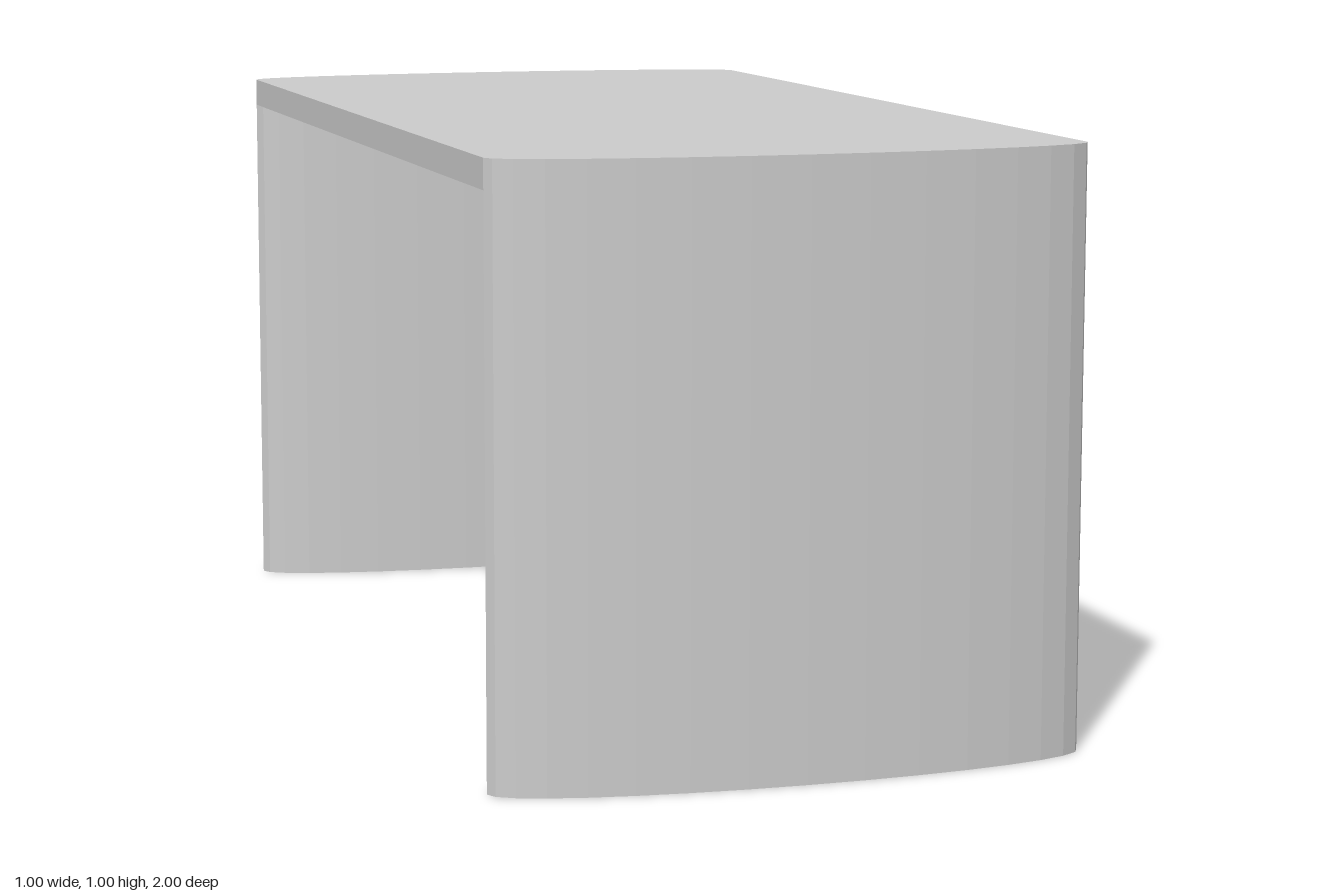
import * as THREE from 'three';

const HALF_WIDTH = 0.5;    // x radius of the oval ends
const END_DEPTH = 0.09;    // z radius of the oval ends
const LEG_Z = 0.91;        // oval centre of each leg
const HEIGHT = 1;
const SLAB = 0.05;         // thickness of the top
const SIDES = 32;

const material = new THREE.MeshStandardMaterial({ color: 0xcccccc, flatShading: true });

// Points of an oval; the two halves are moved apart by `spread`
function ovalShape(spread) {
  const points = [];
  for (const end of [1, -1]) {
    for (let i = 0; i <= SIDES / 2; i++) {
      const a = (i / (SIDES / 2)) * Math.PI;
      points.push(new THREE.Vector2(
        end * HALF_WIDTH * Math.cos(a),
        end * (spread + END_DEPTH * Math.sin(a))
      ));
    }
  }
  return new THREE.Shape(points);
}

// Extrudes a floor-plan shape upwards from y = 0
function extrudeUp(shape, height) {
  const geometry = new THREE.ExtrudeGeometry(shape, { depth: height, bevelEnabled: false });
  geometry.rotateX(-Math.PI / 2);
  return geometry;
}

export function createModel() {
  const table = new THREE.Group();
  table.name = 'table';

  // Thin top with curved ends
  const top = new THREE.Mesh(extrudeUp(ovalShape(LEG_Z), SLAB), material);
  top.name = 'tableTop';
  top.position.y = HEIGHT - SLAB;
  table.add(top);

  // Solid oval legs, flush with the ends of the top
  const legGeometry = new THREE.CylinderGeometry(1, 1, HEIGHT - SLAB, SIDES);
  legGeometry.rotateY(Math.PI / 2);
  legGeometry.scale(HALF_WIDTH, 1, END_DEPTH);
  for (const side of [1, -1]) {
    const leg = new THREE.Mesh(legGeometry, material);
    leg.name = side > 0 ? 'frontLeg' : 'backLeg';
    leg.position.set(0, (HEIGHT - SLAB) / 2, side * LEG_Z);
    table.add(leg);
  }
  return table;
}
